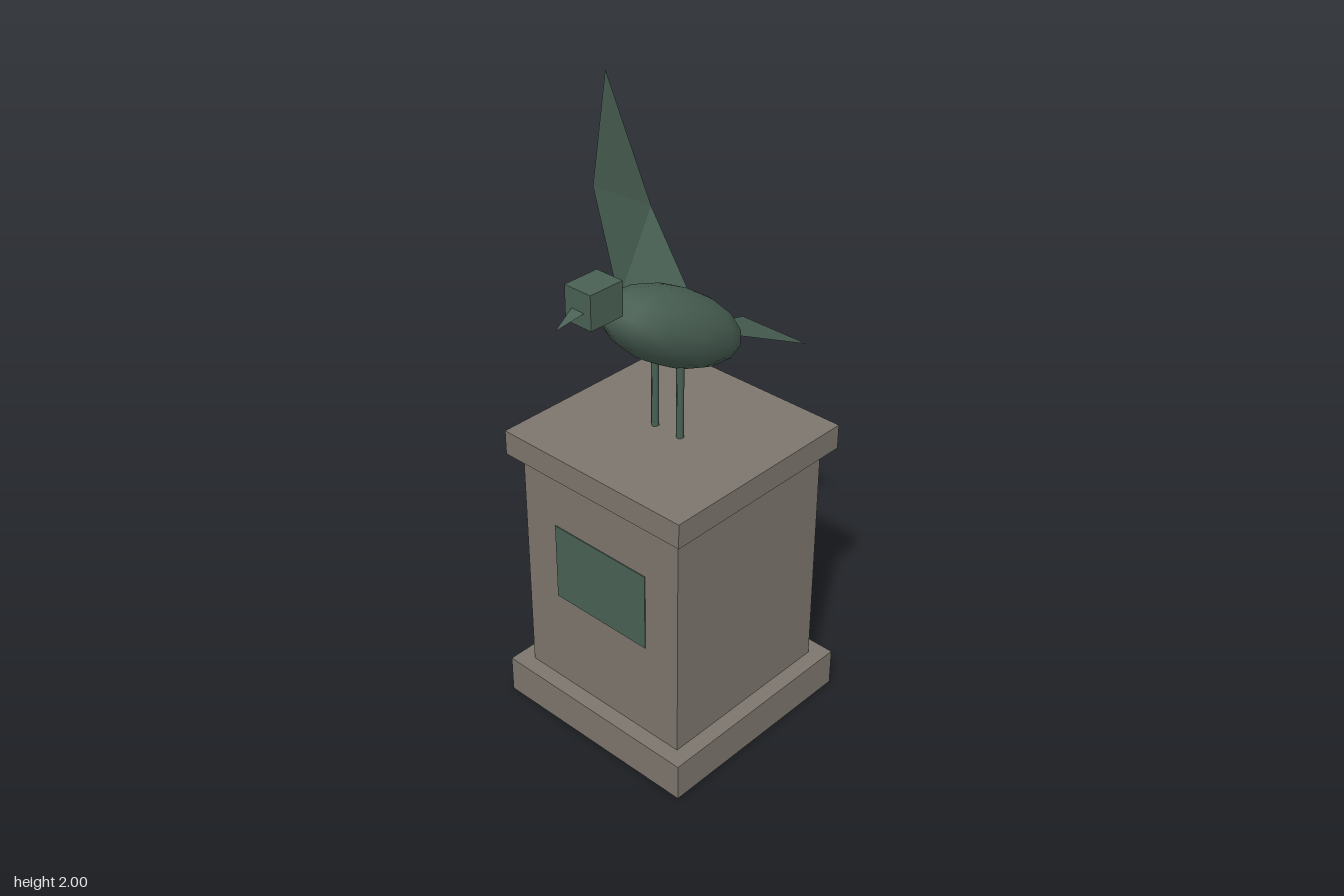
import * as THREE from 'three';

// Thin sheet from corner points, fanned out from the first one.
function sheet(...points) {
  const corners = [];
  for (let i = 1; i < points.length - 1; i++) corners.push(...points[0], ...points[i], ...points[i + 1]);
  const geometry = new THREE.BufferGeometry();
  geometry.setAttribute('position', new THREE.Float32BufferAttribute(corners, 3));
  geometry.computeVertexNormals();
  return geometry;
}

export function createModel() {
  const model = new THREE.Group();
  model.name = 'birdStatue';

  const stone = new THREE.MeshStandardMaterial({ color: 0x7d766e, side: THREE.DoubleSide });
  stone.name = 'stone';
  const bronze = new THREE.MeshStandardMaterial({ color: 0x4a6155, side: THREE.DoubleSide });
  bronze.name = 'greenBronze';

  const add = (parent, name, geometry, material, x = 0, y = 0, z = 0) => {
    const mesh = new THREE.Mesh(geometry, material);
    mesh.name = name;
    mesh.position.set(x, y, z);
    parent.add(mesh);
    return mesh;
  };

  // Everything is centred slightly off x = 0 to balance the raised wing.
  const cx = 0.025;

  // Pedestal: base hollow from below, shaft and cap
  const pedestal = new THREE.Group();
  pedestal.name = 'pedestal';
  model.add(pedestal);
  const slab = (name, width, bottom, top) =>
    add(pedestal, name, new THREE.BoxGeometry(width, top - bottom, width), stone, cx, (bottom + top) / 2, 0);
  const base = slab('base', 0.75, 0, 0.13);
  const index = Array.from(base.geometry.index.array);
  index.splice(18, 6); // leave out the underside
  base.geometry.setIndex(index);
  base.geometry.clearGroups();
  slab('shaft', 0.642, 0.13, 0.937);
  slab('cap', 0.716, 0.937, 1.02);
  add(pedestal, 'plaque', new THREE.BoxGeometry(0.38, 0.27, 0.004), bronze, cx, 0.597, 0.322);

  // Bird
  const bird = new THREE.Group();
  bird.name = 'bird';
  bird.position.x = cx;
  model.add(bird);

  const body = add(bird, 'body', new THREE.SphereGeometry(1, 12, 8), bronze, 0, 1.37, 0);
  body.scale.set(0.131, 0.12, 0.308);
  body.rotation.x = -Math.PI / 6;

  add(bird, 'head', new THREE.BoxGeometry(0.1, 0.11, 0.124), bronze, 0, 1.578, 0.316);
  add(bird, 'beak', sheet([-0.025, 1.57, 0.377], [0, 1.54, 0.465], [0.025, 1.57, 0.377]), bronze);

  for (const side of [-1, 1]) {
    add(bird, side < 0 ? 'rightLeg' : 'leftLeg',
      new THREE.CylinderGeometry(0.0125, 0.0125, 0.25, 6), bronze, side * 0.051, 1.145, 0.022);
  }

  // Raised wing, folded between its inner panel and its tip
  const wing = new THREE.Group();
  wing.name = 'raisedWing';
  bird.add(wing);
  const foldFront = [-0.298, 1.73, 0.02], foldBack = [-0.319, 1.572, -0.245];
  add(wing, 'innerWing', sheet([-0.11, 1.46, 0.11], foldFront, foldBack, [-0.09, 1.39, -0.167]), bronze);
  add(wing, 'wingTip', sheet(foldFront, [-0.425, 2, -0.165], foldBack), bronze);

  // Fanned tail
  add(bird, 'tail', sheet([-0.048, 1.275, -0.21], [0.048, 1.275, -0.21],
    [0.132, 1.17, -0.47], [-0.132, 1.17, -0.47]), bronze);

  return model;
}
